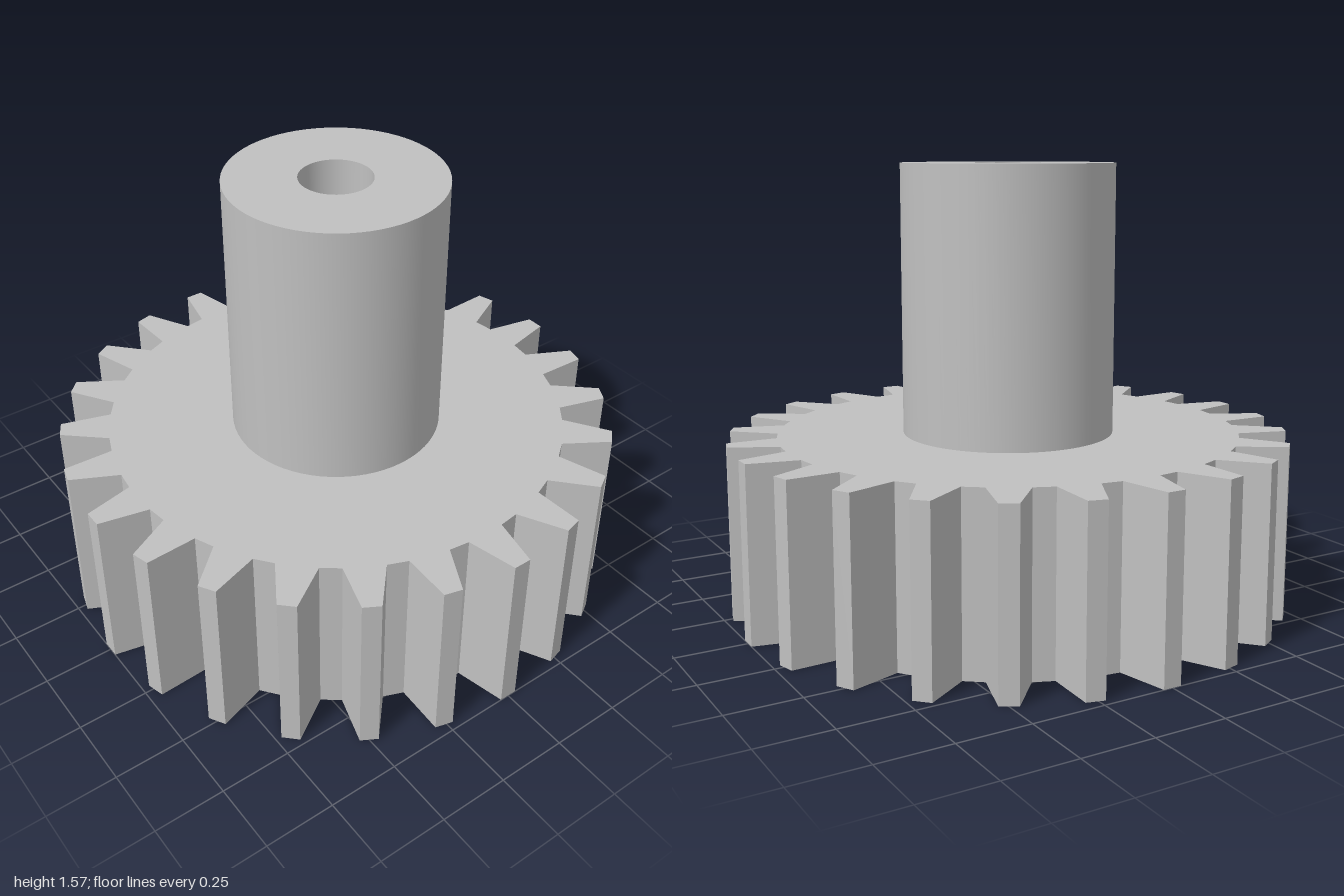
import * as THREE from 'three';
import { toCreasedNormals } from 'three/addons/utils/BufferGeometryUtils.js';

const TEETH = 24;
const TIP_RADIUS = 1, TIP_HALF_WIDTH = 0.032;
const ROOT_RADIUS = 0.825, ROOT_HALF_ANGLE = 0.086;
const GEAR_HEIGHT = 0.62;
const HUB_RADIUS = 0.377, BORE_RADIUS = 0.126, HUB_TOP = 1.573;

// Outline of tapered, straight-sided teeth; one tooth points along +x
function gearShape() {
  const points = [];
  const tipAngle = TIP_HALF_WIDTH / TIP_RADIUS;
  for (let i = 0; i < TEETH; i++) {
    const a = (i / TEETH) * Math.PI * 2;
    const corners = [
      [ROOT_RADIUS, -ROOT_HALF_ANGLE], [TIP_RADIUS, -tipAngle],
      [TIP_RADIUS, tipAngle], [ROOT_RADIUS, ROOT_HALF_ANGLE],
    ];
    for (const [r, d] of corners) {
      points.push(new THREE.Vector2(r * Math.cos(a + d), r * Math.sin(a + d)));
    }
  }
  return new THREE.Shape(points);
}

export function createModel() {
  const group = new THREE.Group();
  group.name = 'spurGear';
  const steel = new THREE.MeshStandardMaterial({ color: 0xc0c0c0 });
  steel.name = 'steel grey';

  // Solid toothed wheel
  const wheelGeometry = new THREE.ExtrudeGeometry(gearShape(), { depth: GEAR_HEIGHT, bevelEnabled: false });
  wheelGeometry.rotateX(-Math.PI / 2);
  const wheel = new THREE.Mesh(wheelGeometry, steel);
  wheel.name = 'toothedWheel';

  // Hollow hub, its bore ending at the wheel's upper face
  const profile = [
    [HUB_RADIUS, GEAR_HEIGHT], [HUB_RADIUS, HUB_TOP],
    [BORE_RADIUS, HUB_TOP], [BORE_RADIUS, GEAR_HEIGHT],
  ].map(([r, y]) => new THREE.Vector2(r, y));
  const hub = new THREE.Mesh(toCreasedNormals(new THREE.LatheGeometry(profile, 72), Math.PI / 6), steel);
  hub.name = 'hub';

  group.add(wheel, hub);
  return group;
}
